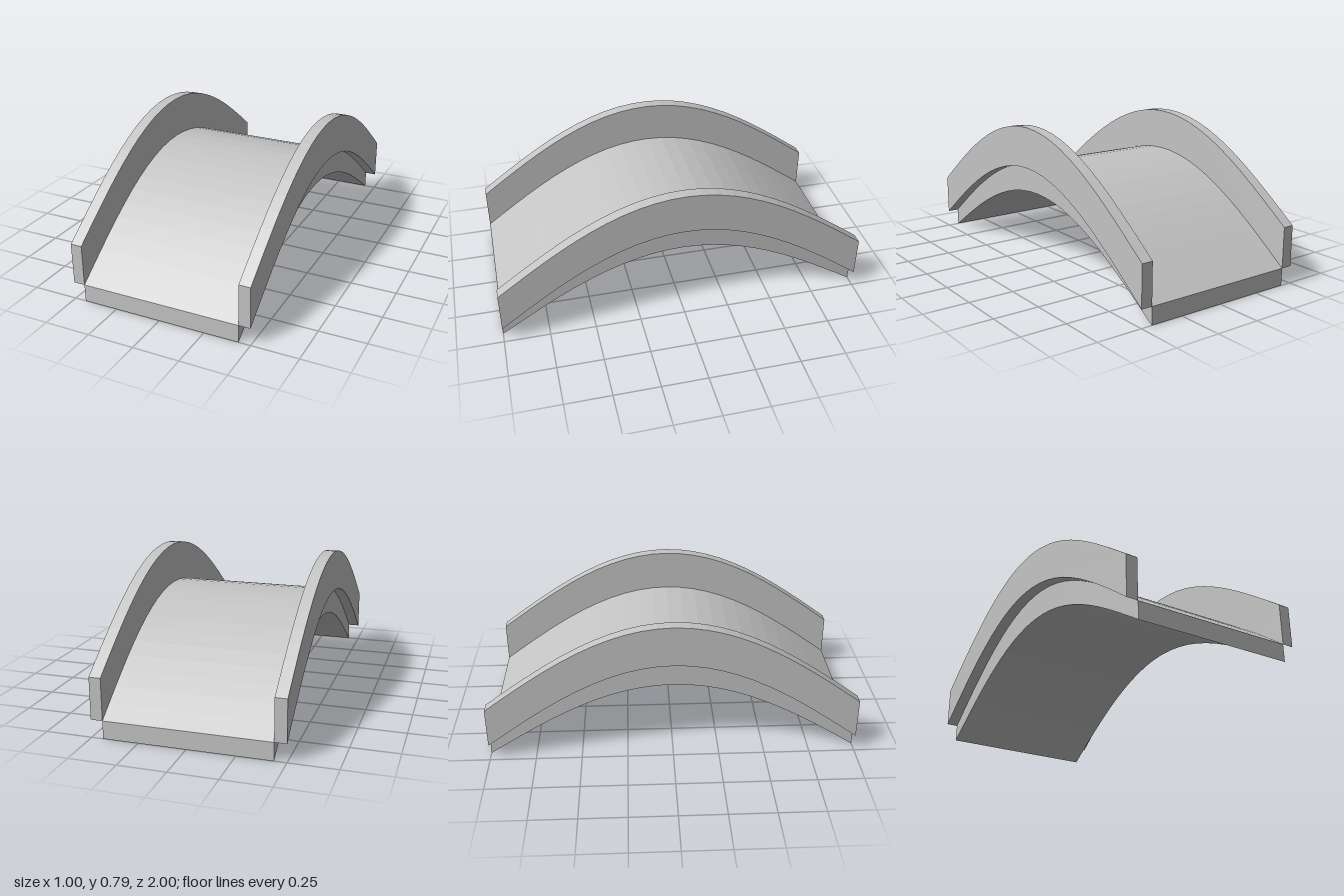
import * as THREE from 'three';

const SEGMENTS = 24;

// Cosine arch sampled from z = -1 to z = 1
function arch(endY, rise) {
  return Array.from({ length: SEGMENTS + 1 }, (_, i) => {
    const z = -1 + (2 * i) / SEGMENTS;
    return new THREE.Vector2(z, endY + rise * Math.cos((z * Math.PI) / 2));
  });
}

// Solid between two arches, extruded across x
function archedSlab(name, lower, upper, width, x, material) {
  const shape = new THREE.Shape([...lower, ...upper.slice().reverse()]);
  const geometry = new THREE.ExtrudeGeometry(shape, { depth: width, bevelEnabled: false });
  geometry.translate(0, 0, -width / 2);
  geometry.rotateY(-Math.PI / 2);
  const mesh = new THREE.Mesh(geometry, material);
  mesh.name = name;
  mesh.position.x = x;
  return mesh;
}

export function createModel() {
  const stone = new THREE.MeshStandardMaterial({ color: 0xc4c4c4 });
  stone.name = 'light grey stone';
  stone.flatShading = true;

  const underside = arch(0, 0.417);
  const deckTop = arch(0.095, 0.475);
  const wallTop = arch(0.318, 0.475);

  const bridge = new THREE.Group();
  bridge.name = 'archedBridge';

  // Walkway
  bridge.add(archedSlab('deck', underside, deckTop, 0.875, 0, stone));

  // Side walls standing just outside the deck edges
  for (const [name, side] of [['leftWall', 1], ['rightWall', -1]]) {
    bridge.add(archedSlab(name, deckTop, wallTop, 0.0625, side * 0.46875, stone));
  }
  return bridge;
}
